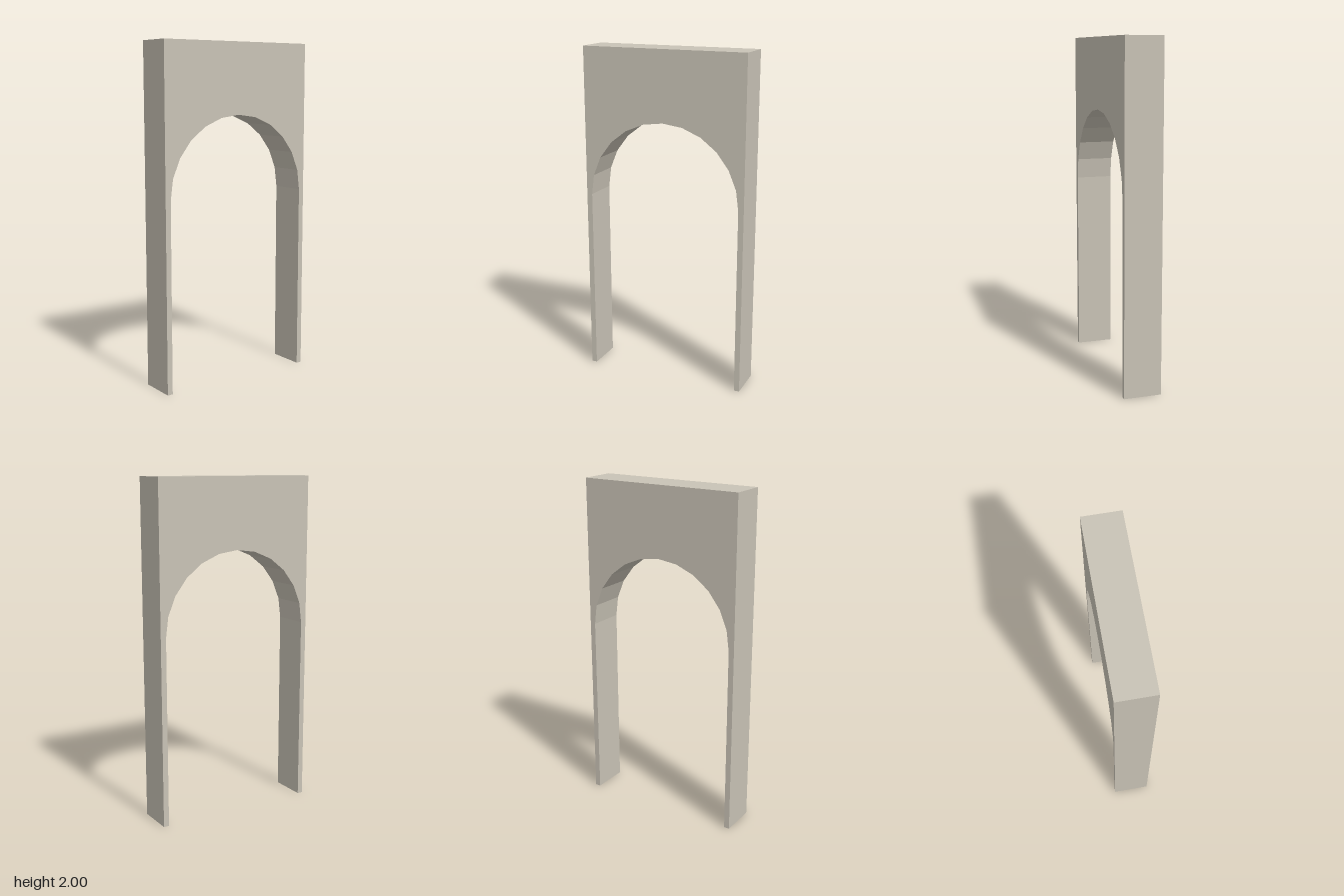
import * as THREE from 'three';

const HALF_WIDTH = 0.5, HEIGHT = 2, DEPTH = 0.22;
const RADIUS = 0.467, SPRING = 1.117, SEGMENTS = 12;

export function createModel() {
  const stone = new THREE.MeshStandardMaterial({ color: 0xc9c3b6 });
  stone.name = 'paleStone';

  // Outer block outline, then the opening: straight jambs and a faceted round head
  const outline = [
    new THREE.Vector2(-HALF_WIDTH, 0),
    new THREE.Vector2(-RADIUS, 0),
  ];
  for (let i = 0; i <= SEGMENTS; i++) {
    const a = Math.PI * (1 - i / SEGMENTS);
    outline.push(new THREE.Vector2(RADIUS * Math.cos(a), SPRING + RADIUS * Math.sin(a)));
  }
  outline.push(
    new THREE.Vector2(RADIUS, 0),
    new THREE.Vector2(HALF_WIDTH, 0),
    new THREE.Vector2(HALF_WIDTH, HEIGHT),
    new THREE.Vector2(-HALF_WIDTH, HEIGHT),
  );

  // Wall with the arched opening, centred in depth
  const geometry = new THREE.ExtrudeGeometry(new THREE.Shape(outline), {
    depth: DEPTH,
    bevelEnabled: false,
  });
  geometry.translate(0, 0, -DEPTH / 2);

  const arch = new THREE.Mesh(geometry, stone);
  arch.name = 'archWall';

  const group = new THREE.Group();
  group.name = 'archway';
  group.add(arch);
  return group;
}
